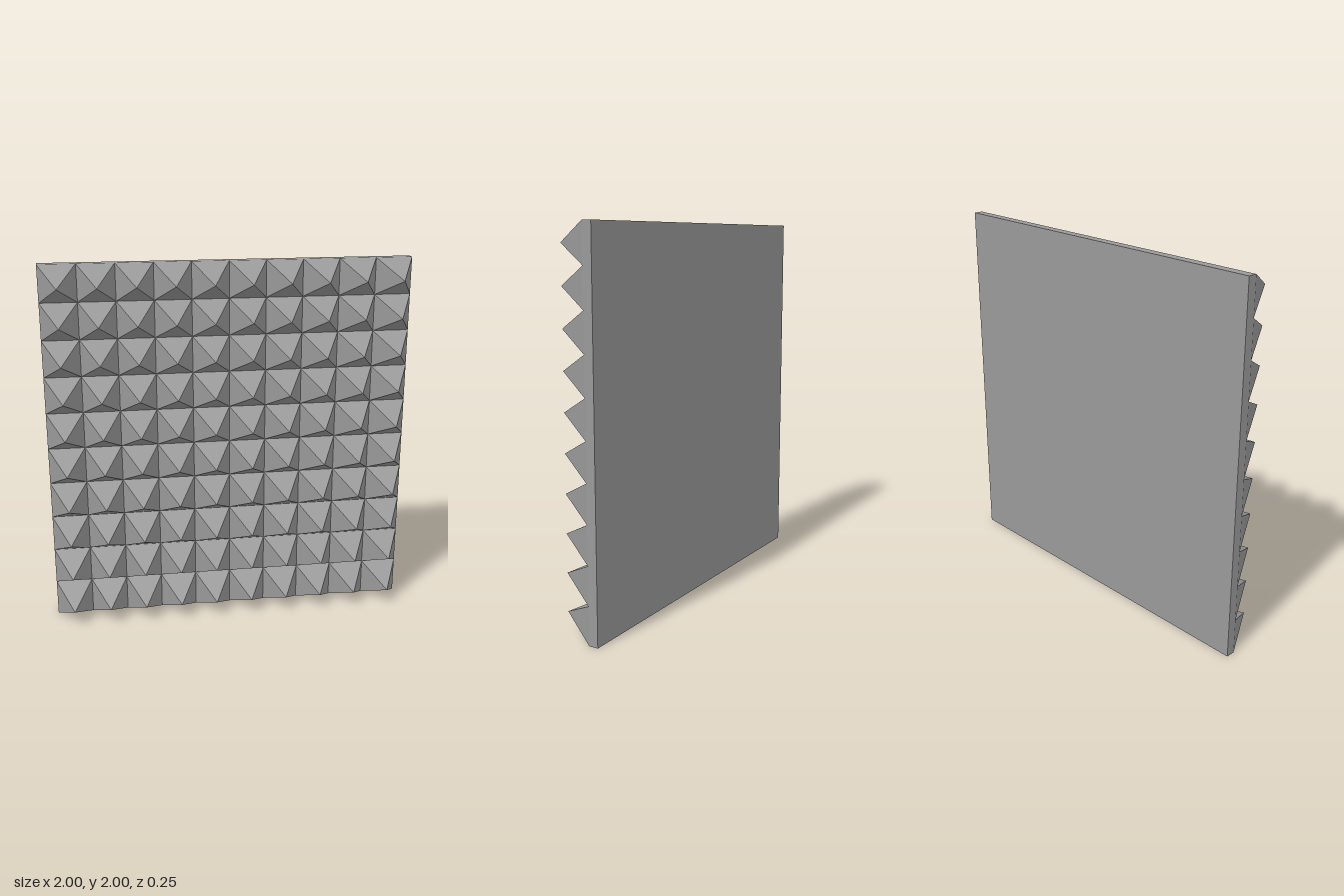
import * as THREE from 'three';

const COUNT = 10;      // pyramids per side
const CELL = 0.2;      // pyramid base width
const HEIGHT = 0.2;    // pyramid height
const PLATE = 0.05;    // backing thickness
const BACK = -(HEIGHT + PLATE) / 2;

export function createModel() {
  const group = new THREE.Group();
  group.name = 'acousticFoamPanel';

  const foam = new THREE.MeshStandardMaterial({ color: 0x999999, flatShading: true });
  foam.name = 'grey foam';

  // Flat backing plate
  const plate = new THREE.Mesh(new THREE.BoxGeometry(COUNT * CELL, COUNT * CELL, PLATE), foam);
  plate.name = 'backingPlate';
  plate.position.set(0, 1, BACK + PLATE / 2);
  group.add(plate);

  // Square pyramid with its tip toward +z and its base open against the plate
  const pyramid = new THREE.ConeGeometry(CELL / Math.SQRT2, HEIGHT, 4, 1, true);
  pyramid.rotateY(Math.PI / 4);
  pyramid.rotateX(Math.PI / 2);

  // Grid of pyramids
  const grid = new THREE.Group();
  grid.name = 'pyramidGrid';
  for (let row = 0; row < COUNT; row++) {
    for (let col = 0; col < COUNT; col++) {
      const mesh = new THREE.Mesh(pyramid, foam);
      mesh.name = 'pyramid';
      mesh.position.set((col + 0.5) * CELL - 1, (row + 0.5) * CELL, BACK + PLATE + HEIGHT / 2);
      grid.add(mesh);
    }
  }
  group.add(grid);

  return group;
}
